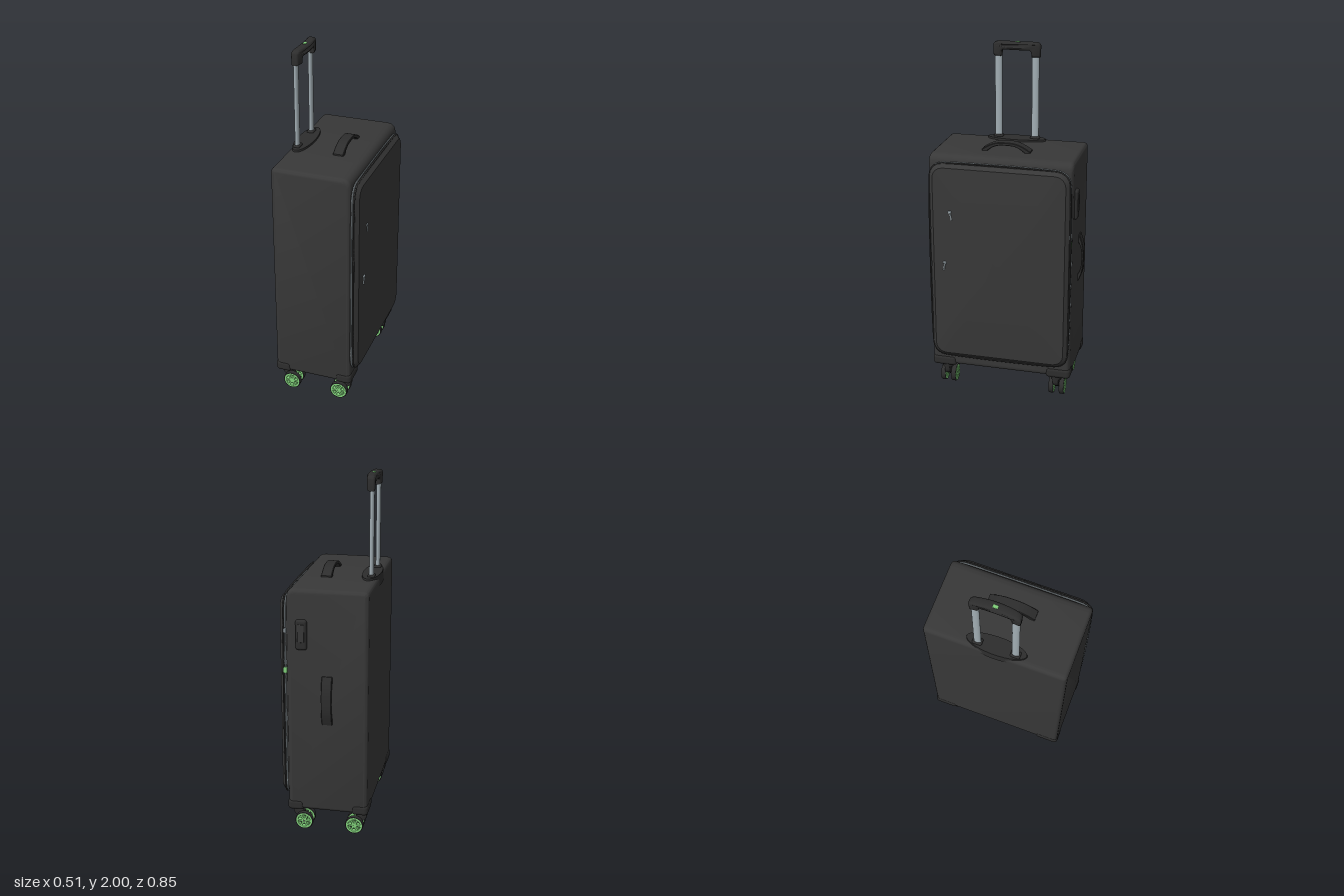
import * as THREE from 'three';
import { toCreasedNormals } from 'three/addons/utils/BufferGeometryUtils.js';
import { RoundedBoxGeometry } from 'three/addons/geometries/RoundedBoxGeometry.js';

const mat = (name, color, side = THREE.FrontSide) => {
  const m = new THREE.MeshStandardMaterial({ color, side });
  m.name = name;
  return m;
};
const fabric = mat('charcoal fabric', 0x383838);
const trim = mat('black plastic', 0x2d2d2d);
const metal = mat('grey metal', 0xa2aeb4);
const green = mat('green accent', 0x80d07a);

const MID_Z = 0.013;

function add(parent, name, geometry, material, x = 0, y = 0, z = 0) {
  const mesh = new THREE.Mesh(geometry, material);
  mesh.name = name;
  mesh.position.set(x, y, z);
  parent.add(mesh);
  return mesh;
}

const rbox = (w, h, d, r) => new RoundedBoxGeometry(w, h, d, 3, r);

// Bevelled extrusion, centred on its depth
function extrude(shape, depth, bevel, segments = 3, curveSegments = 10) {
  const g = new THREE.ExtrudeGeometry(shape, {
    depth: depth - 2 * bevel, bevelEnabled: bevel > 0, bevelSize: bevel, bevelThickness: bevel,
    bevelOffset: -bevel, bevelSegments: segments, curveSegments,
  });
  g.translate(0, 0, -depth / 2 + bevel);
  return toCreasedNormals(g, 0.7);
}

// Points of a rounded rectangle in the y-z plane
function roundedLoop(x, hy, hz, r, steps = 4) {
  const points = [];
  for (let k = 0; k < 4; k++) {
    const mid = (k + 0.5) * Math.PI / 2;
    for (let i = 0; i <= steps; i++) {
      const t = (k + i / steps) * Math.PI / 2;
      points.push(new THREE.Vector3(x,
        Math.sign(Math.cos(mid)) * (hy - r) + r * Math.cos(t),
        Math.sign(Math.sin(mid)) * (hz - r) + r * Math.sin(t)));
    }
  }
  return points;
}

// Skin through loops along +x, closed by a front cap
function loftLoops(loops) {
  const n = loops[0].length, pos = [], idx = [];
  loops.forEach(l => l.forEach(p => pos.push(p.x, p.y, p.z)));
  for (let i = 0; i < loops.length - 1; i++) {
    for (let j = 0; j < n; j++) {
      const a = i * n + j, b = i * n + (j + 1) % n;
      idx.push(a, b, a + n, b, b + n, a + n);
    }
  }
  const last = (loops.length - 1) * n;
  pos.push(loops[loops.length - 1][0].x, 0, 0);
  for (let j = 0; j < n; j++) idx.push(loops.length * n, last + j, last + (j + 1) % n);
  const g = new THREE.BufferGeometry();
  g.setAttribute('position', new THREE.Float32BufferAttribute(pos, 3));
  g.setIndex(idx);
  return toCreasedNormals(g, 0.5);
}

// Arched carry strap: runs along z, rises along y
function strap(length, height, thick, width) {
  const h = length / 2, s = new THREE.Shape();
  s.moveTo(-h, -0.01);
  s.lineTo(-h, 0.008);
  s.bezierCurveTo(-h * 0.55, height * 0.95, -h * 0.35, height, 0, height);
  s.bezierCurveTo(h * 0.35, height, h * 0.55, height * 0.95, h, 0.008);
  s.lineTo(h, -0.01);
  s.lineTo(h * 0.85, -0.01);
  s.bezierCurveTo(h * 0.5, height - thick, h * 0.3, height - thick, 0, height - thick);
  s.bezierCurveTo(-h * 0.3, height - thick, -h * 0.5, height - thick, -h * 0.85, -0.01);
  return extrude(s, width, 0.003, 1).rotateY(-Math.PI / 2);
}

function makeShell() {
  const g = new THREE.Group();
  g.name = 'shell';
  // Main case: side profile with softer front corners
  const [x0, x1, y0, y1, rb, rf] = [-0.255, 0.195, 0.145, 1.435, 0.03, 0.055];
  const s = new THREE.Shape();
  s.moveTo(x0 + rb, y0);
  s.lineTo(x1 - rb, y0);
  s.quadraticCurveTo(x1, y0, x1, y0 + rb);
  s.lineTo(x1, y1 - rf);
  s.quadraticCurveTo(x1, y1, x1 - rf, y1);
  s.lineTo(x0 + rb, y1);
  s.quadraticCurveTo(x0, y1, x0, y1 - rb);
  s.lineTo(x0, y0 + rb);
  s.quadraticCurveTo(x0, y0, x0 + rb, y0);
  add(g, 'mainCase', extrude(s, 0.815, 0.022, 4), fabric, 0, 0, MID_Z);

  // Bulging lid panel
  const lid = [[0.18, 0.588, 0.398, 0.075], [0.215, 0.586, 0.396, 0.075], [0.234, 0.565, 0.375, 0.06],
    [0.243, 0.42, 0.285, 0.05], [0.252, 0.24, 0.165, 0.04]];
  add(g, 'lid', loftLoops(lid.map(l => roundedLoop(...l))), fabric, 0, 0.807, MID_Z);

  // Zip and piping around the lid
  const loopTube = (x, grow, r) => new THREE.TubeGeometry(
    new THREE.CatmullRomCurve3(roundedLoop(x, 0.588 + grow, 0.398 + grow, 0.075), true, 'centripetal'), 160, r, 6, true);
  add(g, 'zip', loopTube(0.201, -0.001, 0.0035), metal, 0, 0.807, MID_Z);
  add(g, 'piping', loopTube(0.212, -0.002, 0.005), trim, 0, 0.807, MID_Z);

  // Bottom corner guards
  for (const x of [-0.212, 0.153]) for (const sz of [-1, 1]) {
    add(g, 'cornerGuard', rbox(0.095, 0.065, 0.145, 0.022), trim, x, 0.168, MID_Z + sz * 0.339);
  }
  add(g, 'bottomGrip', rbox(0.06, 0.05, 0.235, 0.02), trim, 0.1, 0.14, MID_Z);
  return g;
}

function makeFittings() {
  const g = new THREE.Group();
  g.name = 'fittings';
  add(g, 'topHandle', strap(0.275, 0.052, 0.017, 0.06), trim, 0.03, 1.435, MID_Z);
  add(g, 'sideHandle', strap(0.28, 0.033, 0.012, 0.058).rotateX(-Math.PI / 2), trim, -0.03, 0.815, -0.393);

  // Lock: raised frame with dial window and buttons
  add(g, 'lockFrame', rbox(0.062, 0.17, 0.035, 0.014), trim, 0.11, 1.185, -0.394);
  add(g, 'lockPlate', rbox(0.036, 0.1, 0.008, 0.003), fabric, 0.11, 1.195, -0.411);

  // Zip sliders and pulls
  add(g, 'zipClasp', rbox(0.022, 0.035, 0.018, 0.005), green, 0.202, 0.975, -0.386);
  for (const y of [1.2, 1.02, 0.69]) add(g, 'zipSlider', rbox(0.016, 0.025, 0.008, 0.003), metal, 0.202, y, -0.386);
  for (const [y, z, tilt] of [[1.1, 0.283, 0.2], [0.795, 0.325, -0.15]]) {
    const pull = new THREE.Group();
    pull.name = 'zipPull';
    pull.position.set(0.243, y, z);
    pull.rotation.x = tilt;
    add(pull, 'pullSlider', rbox(0.012, 0.014, 0.02, 0.004), metal, 0, 0.022, 0);
    add(pull, 'pullTab', rbox(0.008, 0.04, 0.008, 0.003), metal, 0, -0.006, 0);
    g.add(pull);
  }
  return g;
}

function makeTrolley() {
  const g = new THREE.Group();
  g.name = 'trolleyHandle';
  // Oval socket on the top rear edge
  add(g, 'socket', new THREE.CylinderGeometry(0.94, 1, 0.06, 32).scale(0.055, 1, 0.18), trim, -0.205, 1.416, MID_Z);
  for (const sz of [-1, 1]) {
    const z = 0.016 + sz * 0.107;
    add(g, 'pole', new THREE.CylinderGeometry(1, 1, 0.53, 16).scale(0.0125, 1, 0.021), metal, -0.215, 1.685, z);
    add(g, 'poleCollar', rbox(0.04, 0.02, 0.055, 0.008), trim, -0.215, 1.447, z);
  }
  // Grip: inverted U, bowed forward in the middle
  const s = new THREE.Shape();
  s.moveTo(-0.133, 1.915);
  s.lineTo(-0.136, 1.975);
  s.quadraticCurveTo(-0.134, 1.995, -0.11, 1.998);
  for (let i = -4; i <= 4; i++) s.lineTo(i * 0.025, 1.998);
  s.quadraticCurveTo(0.134, 1.995, 0.136, 1.975);
  s.lineTo(0.133, 1.915);
  s.lineTo(0.086, 1.915);
  s.lineTo(0.084, 1.945);
  for (let i = 3; i >= -3; i--) s.lineTo(i * 0.025, 1.953);
  s.lineTo(-0.084, 1.945);
  s.lineTo(-0.086, 1.915);
  const grip = extrude(s, 0.042, 0.012).rotateY(-Math.PI / 2);
  const p = grip.attributes.position;
  for (let i = 0; i < p.count; i++) {
    const u = p.getZ(i) / 0.136, x = p.getX(i);
    p.setX(i, x + 0.017 * (1 - u * u) * (x > 0 ? 1 : 0.4));
  }
  add(g, 'grip', toCreasedNormals(grip, 0.7), trim, -0.213, 0, 0.015);
  add(g, 'releaseButton', rbox(0.018, 0.006, 0.028, 0.002), green, -0.205, 1.997, 0.013);
  return g;
}

// Wheel outline: ring with cut-outs between six spokes
function rimGeometry() {
  const s = new THREE.Shape();
  s.absarc(0, 0, 0.046, 0, Math.PI * 2);
  for (let i = 0; i < 6; i++) {
    const a = i * Math.PI / 3, h = new THREE.Path();
    h.absarc(0, 0, 0.036, a + 0.14, a + Math.PI / 3 - 0.14, false);
    h.absarc(0, 0, 0.016, a + Math.PI / 3 - 0.3, a + 0.3, true);
    h.closePath();
    s.holes.push(h);
  }
  return extrude(s, 0.028, 0, 1, 16);
}

function makeCaster(rim, tyre) {
  const g = new THREE.Group();
  g.name = 'caster';
  // Swivel sits at the origin, the wheels trail along +x
  add(g, 'swivel', new THREE.CylinderGeometry(0.036, 0.03, 0.05, 20), trim, 0, 0.14, 0);
  const s = new THREE.Shape();
  s.moveTo(-0.028, 0.15);
  s.lineTo(-0.028, 0.1);
  s.quadraticCurveTo(-0.022, 0.075, 0, 0.066);
  s.lineTo(0.034, 0.042);
  s.lineTo(0.052, 0.05);
  s.lineTo(0.05, 0.07);
  s.quadraticCurveTo(0.028, 0.1, 0.028, 0.15);
  add(g, 'fork', extrude(s, 0.034, 0.006, 2), trim);
  add(g, 'axle', new THREE.CylinderGeometry(0.008, 0.008, 0.09, 12).rotateX(Math.PI / 2), trim, 0.04, 0.052, 0);
  for (const sz of [-1, 1]) {
    add(g, 'wheelRim', rim, green, 0.04, 0.052, sz * 0.031);
    add(g, 'tyre', tyre, trim, 0.04, 0.052, sz * 0.031);
  }
  return g;
}

export function createModel() {
  const model = new THREE.Group();
  model.name = 'suitcase';
  model.add(makeShell(), makeFittings(), makeTrolley());

  const rim = rimGeometry();
  const tyreProfile = [[0.044, -0.0135], [0.05, -0.0135], [0.052, -0.009], [0.052, 0.009], [0.05, 0.0135], [0.044, 0.0135]];
  const tyre = toCreasedNormals(new THREE.LatheGeometry(tyreProfile.map(q => new THREE.Vector2(...q)), 32).rotateX(Math.PI / 2), 0.5);
  for (const [x, turn] of [[-0.215, 0], [0.155, Math.PI]]) for (const z of [-0.312, 0.343]) {
    const caster = makeCaster(rim, tyre);
    caster.position.set(x, 0, z);
    caster.rotation.y = turn;
    model.add(caster);
  }
  return model;
}
